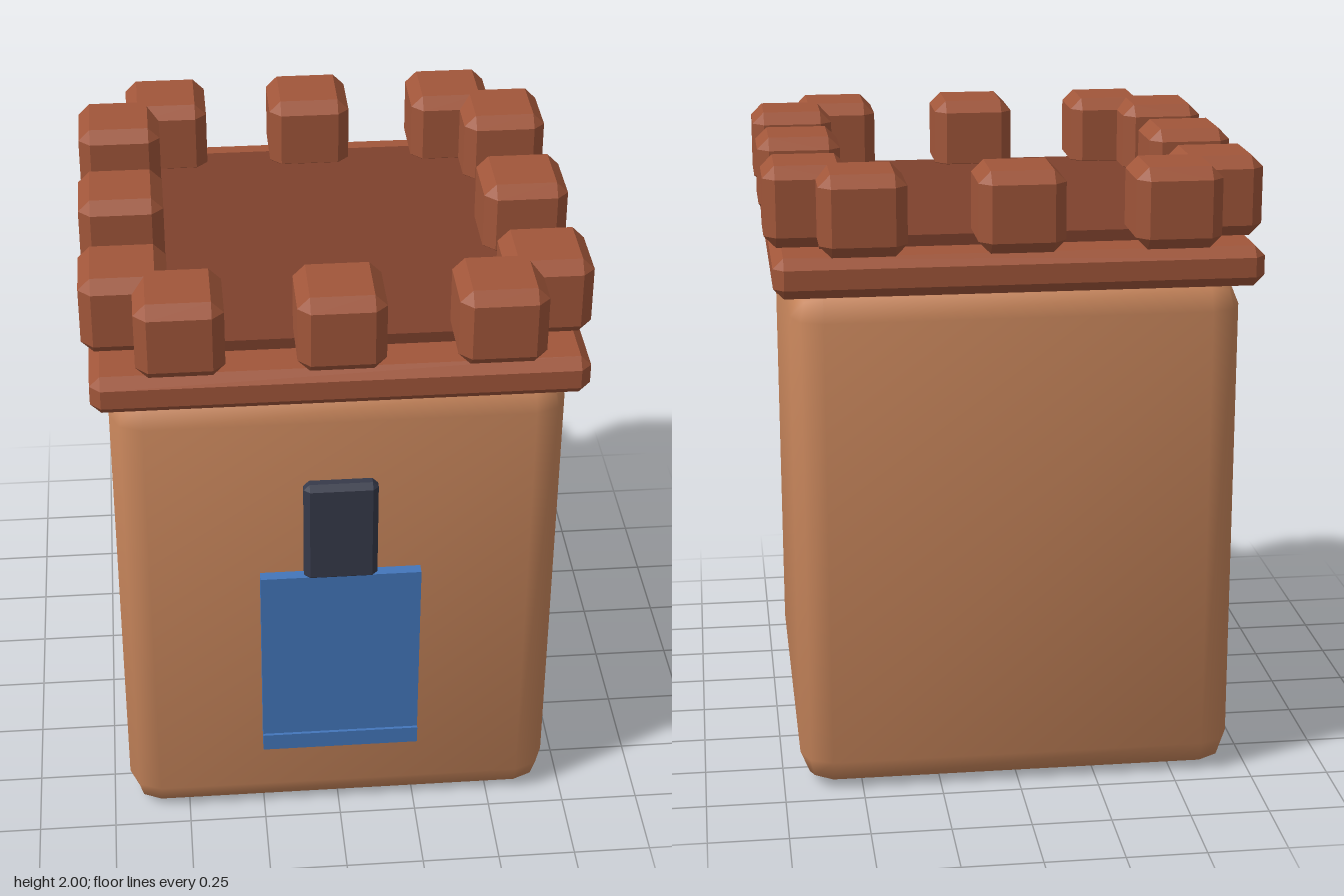
import * as THREE from 'three';
import { RoundedBoxGeometry } from 'three/addons/geometries/RoundedBoxGeometry.js';
import { ConvexGeometry } from 'three/addons/geometries/ConvexGeometry.js';

const paint = (name, color) => {
  const m = new THREE.MeshStandardMaterial({ color });
  m.name = name;
  return m;
};

// Box with every edge cut by one flat chamfer
function chamferBox(w, h, d, c) {
  const pts = [];
  for (const x of [-w / 2, w / 2]) for (const y of [-h / 2, h / 2]) for (const z of [-d / 2, d / 2]) {
    const ix = x - Math.sign(x) * c, iy = y - Math.sign(y) * c, iz = z - Math.sign(z) * c;
    pts.push(new THREE.Vector3(x, iy, iz), new THREE.Vector3(ix, y, iz), new THREE.Vector3(ix, iy, z));
  }
  return new ConvexGeometry(pts);
}

// Rounded block whose normals fan softly outward across each face
function softBlock(w, h, d, r) {
  const geo = new RoundedBoxGeometry(w, h, d, 1, r);
  const p = geo.attributes.position, n = geo.attributes.normal;
  const v = new THREE.Vector3();
  for (let i = 0; i < p.count; i++) {
    v.fromBufferAttribute(n, i);
    v.x += 0.17 * Math.sign(p.getX(i));
    v.y += 0.17 * Math.sign(p.getY(i));
    v.z += 0.17 * Math.sign(p.getZ(i));
    v.normalize();
    n.setXYZ(i, v.x, v.y, v.z);
  }
  return geo;
}

export function createModel() {
  const model = new THREE.Group();
  model.name = 'castleTower';

  const clay = paint('clay wall', 0xc7855b);
  const brick = paint('brick red', 0xa1563a);
  const darkBrick = paint('dark brick', 0x7e412d);
  const cloth = paint('blue cloth', 0x4376bb);
  const slate = paint('dark slate', 0x363a4a);

  const add = (name, geo, mat, x, y, z, parent = model) => {
    const mesh = new THREE.Mesh(geo, mat);
    mesh.name = name;
    mesh.position.set(x, y, z);
    parent.add(mesh);
    return mesh;
  };

  // Tower body, rim and roof floor
  add('towerBody', softBlock(1.39, 1.64, 1.39, 0.1), clay, 0, 0.82, 0);
  add('rim', chamferBox(1.49, 0.125, 1.49, 0.032), brick, 0, 1.6875, 0);
  add('roofFloor', new THREE.BoxGeometry(1.2, 0.06, 1.2), darkBrick, 0, 1.755, 0);

  // Battlements: three merlons on each side
  const merlons = new THREE.Group();
  merlons.name = 'battlements';
  model.add(merlons);
  const merlonGeo = chamferBox(0.264, 0.25, 0.264, 0.037);
  for (const side of [-1, 1]) {
    for (const t of [-0.475, 0, 0.475]) {
      add('merlon', merlonGeo, brick, t, 1.875, side * 0.633, merlons);
      add('merlon', merlonGeo, brick, side * 0.633, 1.875, t, merlons);
    }
  }

  // Arrow slit and hanging banner on the front
  add('window', chamferBox(0.23, 0.36, 0.06, 0.018), slate, 0, 1.15, 0.706);
  add('banner', new THREE.BoxGeometry(0.505, 0.695, 0.04), cloth, 0, 0.6375, 0.711);
  add('bannerHem', new THREE.BoxGeometry(0.505, 0.06, 0.045), cloth, 0, 0.32, 0.718);

  return model;
}
